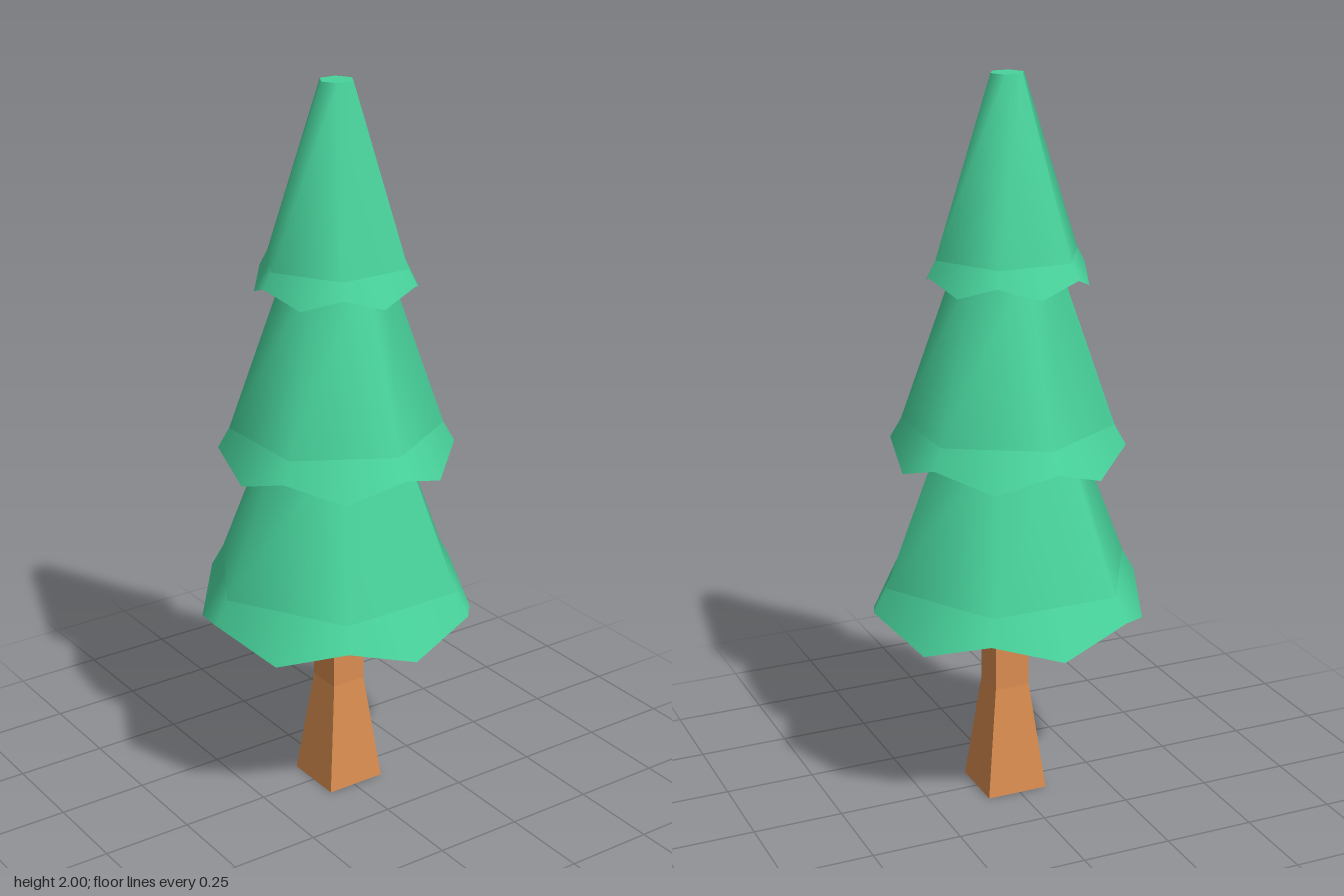
import * as THREE from 'three';

const green = new THREE.MeshStandardMaterial({ color: 0x48d29b, side: THREE.DoubleSide });
const brown = new THREE.MeshStandardMaterial({ color: 0xd98c50, flatShading: true });

// Each tier: six-sided cone from (ringR, ringY) to (topR, topY), with a zigzag
// skirt hanging from the ring; every other tier is turned by 30 degrees.
const TIERS = [
  { name: 'lowerTier', ringR: 0.355, ringY: 0.645, topR: 0.185, topY: 1.07, cornerR: 0.392, cornerY: 0.58, tipR: 0.373, tipY: 0.515, turn: 0 },
  { name: 'middleTier', ringR: 0.288, ringY: 1.07, topR: 0.128, topY: 1.53, cornerR: 0.319, cornerY: 1.015, tipR: 0.303, tipY: 0.962, turn: Math.PI / 6 },
  { name: 'upperTier', ringR: 0.203, ringY: 1.53, topR: 0.047, topY: 2.0, cornerR: 0.226, cornerY: 1.488, tipR: 0.216, tipY: 1.45, turn: 0 },
];

// Zigzag skirt: 12 points around, corners alternating with hanging tips
function skirtGeometry(t) {
  const positions = [], indices = [];
  for (let i = 0; i < 12; i++) {
    const a = (i * Math.PI) / 6, corner = i % 2 === 0;
    const upperR = corner ? t.ringR : t.ringR * Math.cos(Math.PI / 6);
    const lowerR = corner ? t.cornerR : t.tipR;
    positions.push(Math.cos(a) * upperR, t.ringY, -Math.sin(a) * upperR);
    positions.push(Math.cos(a) * lowerR, corner ? t.cornerY : t.tipY, -Math.sin(a) * lowerR);
    const u = 2 * i, l = u + 1, nu = (u + 2) % 24, nl = (u + 3) % 24;
    // the diagonal always starts from a corner of the upper hexagon
    if (corner) indices.push(u, l, nl, u, nl, nu);
    else indices.push(u, l, nu, l, nl, nu);
  }
  const g = new THREE.BufferGeometry();
  g.setAttribute('position', new THREE.Float32BufferAttribute(positions, 3));
  g.setIndex(indices);
  g.computeVertexNormals();
  return g;
}

function makeTier(t) {
  const tier = new THREE.Group();
  tier.name = t.name;
  const h = t.topY - t.ringY;
  const cone = new THREE.Mesh(
    new THREE.CylinderGeometry(t.topR, t.ringR, h, 6, 1, false, Math.PI / 2), green);
  cone.position.y = t.ringY + h / 2;
  cone.name = 'foliageCone';
  const skirt = new THREE.Mesh(skirtGeometry(t), green);
  skirt.name = 'foliageSkirt';
  tier.add(cone, skirt);
  tier.rotation.y = t.turn;
  return tier;
}

export function createModel() {
  const tree = new THREE.Group();
  tree.name = 'pineTree';

  // Square trunk, flared at the foot
  const d = Math.SQRT2;
  const profile = [[0, 0], [0.087 * d, 0], [0.05 * d, 0.31], [0.048 * d, 0.645]]
    .map(([r, y]) => new THREE.Vector2(r, y));
  const trunk = new THREE.Mesh(new THREE.LatheGeometry(profile, 4, Math.PI / 4), brown);
  trunk.position.x = 0.007;
  trunk.name = 'trunk';
  tree.add(trunk);

  for (const t of TIERS) tree.add(makeTier(t));
  return tree;
}
